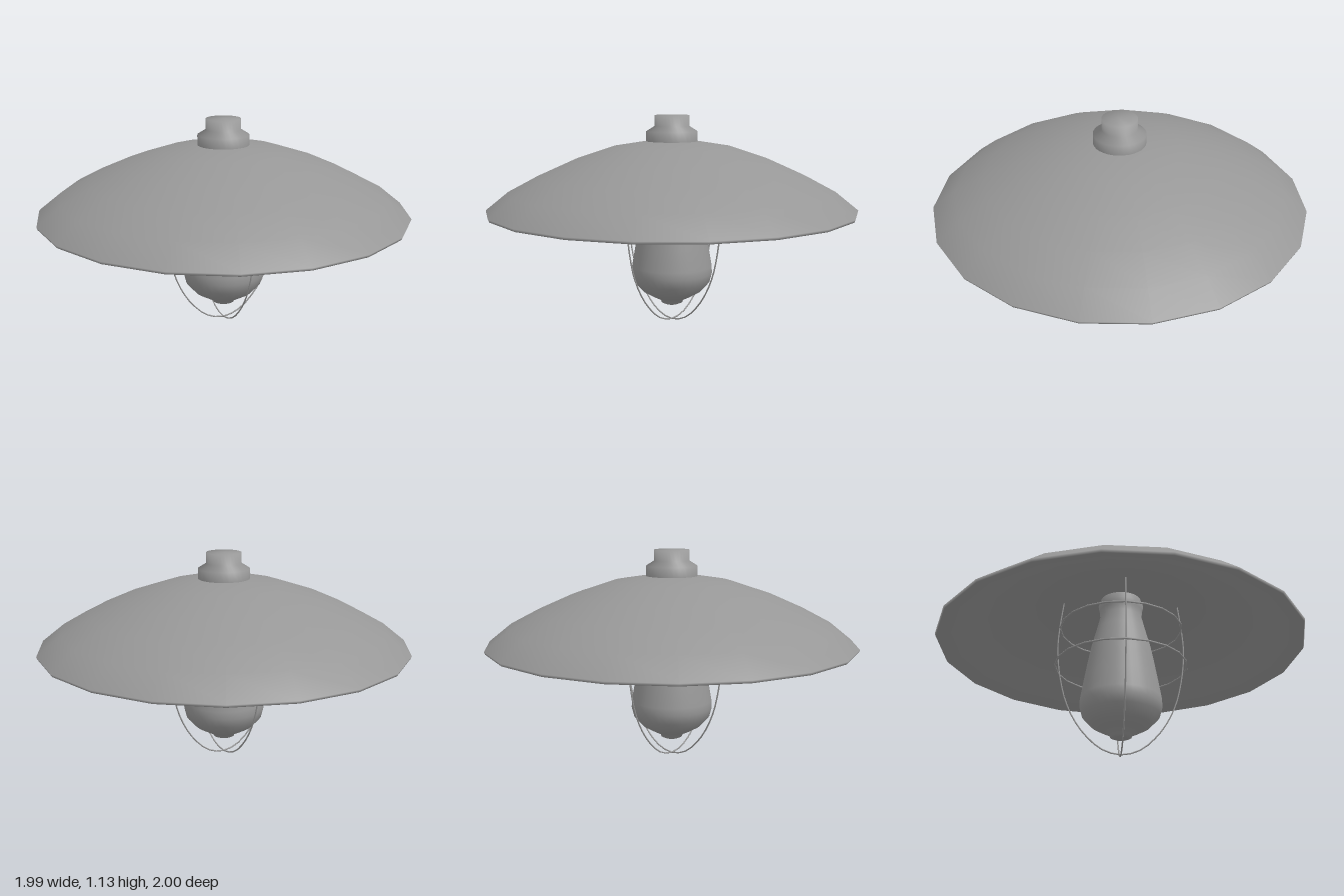
import * as THREE from 'three';

const material = new THREE.MeshStandardMaterial({ color: 0x979797 });

// Smooth turned part from a profile of [radius, y]
function turned(name, sides, profile) {
  const points = profile.map(([r, y]) => new THREE.Vector2(r, y));
  const mesh = new THREE.Mesh(new THREE.LatheGeometry(points, sides, Math.PI / 2), material);
  mesh.name = name;
  return mesh;
}

export function createModel() {
  const model = new THREE.Group();
  model.name = 'cagedPendantLamp';

  // Wide dish shade: inner skin, rolled lip, outer skin
  model.add(turned('shade', 19, [
    [0, 0.91], [0.14, 0.907], [0.32, 0.885], [0.52, 0.832], [0.69, 0.76], [0.85, 0.678], [0.97, 0.612],
    [0.997, 0.612], [1.003, 0.626],
    [0.88, 0.725], [0.72, 0.81], [0.54, 0.89], [0.325, 0.962], [0.14, 0.992], [0, 0.997]]));

  // Stepped fitting on top of the shade
  model.add(turned('topFitting', 32, [
    [0.139, 0.985], [0.139, 1.045], [0.094, 1.073], [0.094, 1.131], [0, 1.133]]));

  // Bulb with a small tip, flaring where it meets the shade
  model.add(turned('bulb', 32, [
    [0, 0.09], [0.035, 0.092], [0.058, 0.102], [0.062, 0.116], [0.105, 0.137], [0.16, 0.168],
    [0.208, 0.22], [0.221, 0.27], [0.219, 0.31], [0.2, 0.42], [0.18, 0.53], [0.162, 0.62],
    [0.135, 0.72], [0.115, 0.8], [0.118, 0.84], [0.125, 0.87], [0.11, 0.91]]));

  // Two crossing wire hoops
  const half = [[0.318, 0.88], [0.335, 0.75], [0.345, 0.62], [0.338, 0.5], [0.322, 0.4],
    [0.297, 0.3], [0.253, 0.2], [0.19, 0.11], [0.1, 0.032]];
  const path = [...half, [0, 0.005], ...half.map(([x, y]) => [-x, y]).reverse()]
    .map(([x, y]) => new THREE.Vector3(x, y, 0));
  const hoop = new THREE.TubeGeometry(new THREE.CatmullRomCurve3(path), 40, 0.004, 6);
  for (const angle of [0, Math.PI / 2]) {
    const wire = new THREE.Mesh(hoop, material);
    wire.name = 'cageHoop';
    wire.rotation.y = angle;
    model.add(wire);
  }

  // Horizontal cage rings
  for (const [radius, y] of [[0.358, 0.502], [0.335, 0.727]]) {
    const ring = new THREE.Mesh(new THREE.TorusGeometry(radius, 0.005, 6, 20), material);
    ring.name = 'cageRing';
    ring.rotation.x = Math.PI / 2;
    ring.position.y = y;
    model.add(ring);
  }

  // The odd-sided rim is centred by its bounds
  for (const part of model.children) part.position.x = -0.007;
  return model;
}
